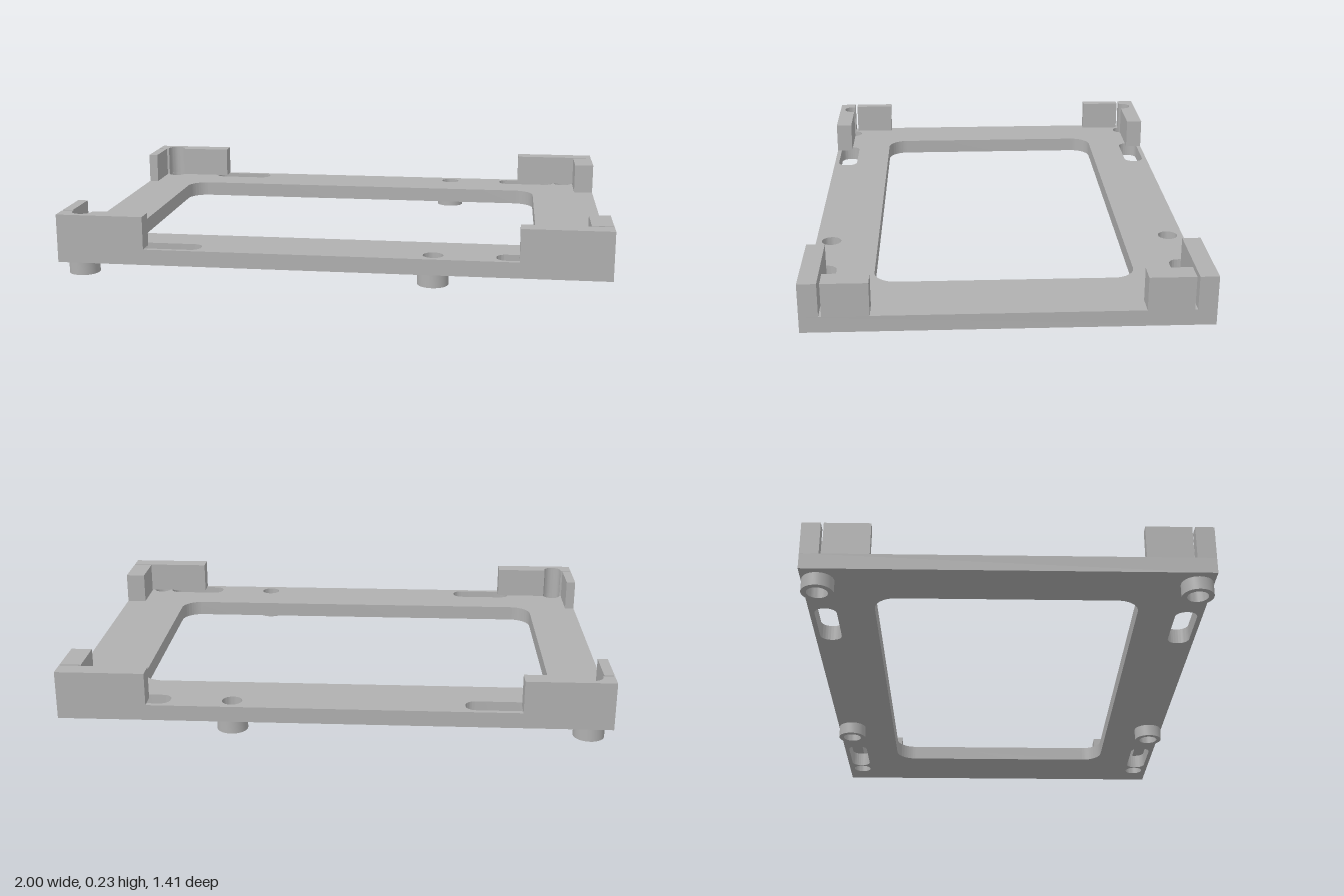
import * as THREE from 'three';
import { toCreasedNormals } from 'three/addons/utils/BufferGeometryUtils.js';

const BASE = 0.048, DECK = 0.106, TOP = 0.227;
const HALF_Z = 0.703, HOLE_Z = 0.645, HOLE_R = 0.037;

export function createModel() {
  const model = new THREE.Group();
  model.name = 'mountingFrame';
  const grey = new THREE.MeshStandardMaterial({ color: 0xb0b0b0 });
  grey.name = 'grey';

  // Rounded rectangle in plan (x, z)
  const roundRect = (path, x0, x1, z0, z1, r) => {
    path.moveTo(x0 + r, z0);
    path.lineTo(x1 - r, z0);
    path.absarc(x1 - r, z0 + r, r, -Math.PI / 2, 0);
    path.absarc(x1 - r, z1 - r, r, 0, Math.PI / 2);
    path.absarc(x0 + r, z1 - r, r, Math.PI / 2, Math.PI);
    path.absarc(x0 + r, z0 + r, r, Math.PI, Math.PI * 1.5);
    return path;
  };
  const polygon = (pts) => new THREE.Shape(pts.map(([x, z]) => new THREE.Vector2(x, z)));
  const circle = (x, z, r) => new THREE.Path().absarc(x, z, r, 0, Math.PI * 2, true);

  // Raise a plan shape between two heights
  const slab = (name, shape, y0, y1) => {
    let geo = new THREE.ExtrudeGeometry(shape, { depth: y1 - y0, bevelEnabled: false, curveSegments: 16 });
    geo.rotateX(Math.PI / 2);
    geo.translate(0, y1, 0);
    geo = toCreasedNormals(geo, 0.6);
    const mesh = new THREE.Mesh(geo, grey);
    mesh.name = name;
    model.add(mesh);
  };

  // Base plate with window, slots and screw holes
  const plate = polygon([[-1, -HALF_Z], [1, -HALF_Z], [1, HALF_Z], [-1, HALF_Z]]);
  plate.holes.push(roundRect(new THREE.Path(), -0.8, 0.74, -0.467, 0.467, 0.08));
  for (const s of [-1, 1]) {
    for (const [a, b] of [[-0.72, -0.475], [0.594, 0.832]]) {
      plate.holes.push(roundRect(new THREE.Path(), a, b, s * HOLE_Z - 0.04, s * HOLE_Z + 0.04, 0.036));
    }
    for (const x of [-0.92, 0.37, 0.876]) plate.holes.push(circle(x, s * HOLE_Z, HOLE_R));
  }
  slab('basePlate', plate, BASE, DECK);

  for (const s of [-1, 1]) {
    const end = s > 0 ? 'front' : 'back';
    const inner = 0.637;

    // Long corner wall on the right, notched by the screw hole
    const pts = [[-1, inner], [-1, HALF_Z], [-0.678, HALF_Z], [-0.678, inner]];
    const a0 = Math.asin((inner - HOLE_Z) / HOLE_R);
    for (let i = 0; i <= 24; i++) {
      const a = a0 + (Math.PI - 2 * a0) * i / 24;
      pts.push([-0.92 + HOLE_R * Math.cos(a), HOLE_Z + HOLE_R * Math.sin(a)]);
    }
    slab(end + 'RightLongWall', polygon(pts.map(([x, z]) => [x, s * z])), DECK, TOP);

    // Plain walls, separated from the long ones by a thin gap
    const box = (name, x0, x1, z0, z1) =>
      slab(name, polygon([[x0, s * z0], [x1, s * z0], [x1, s * z1], [x0, s * z1]]), DECK, TOP);
    box(end + 'LeftLongWall', 0.676, 1, inner, HALF_Z);
    box(end + 'RightShortWall', -1, -0.963, 0.466, 0.627);
    box(end + 'LeftShortWall', 0.922, 1, 0.466, 0.627);

    // Hollow standoff feet
    for (const x of [-0.92, 0.37]) {
      const ring = new THREE.Shape().absarc(x, s * HOLE_Z, 0.056, 0, Math.PI * 2);
      ring.holes.push(circle(x, s * HOLE_Z, HOLE_R));
      slab(end + (x < 0 ? 'Corner' : 'Middle') + 'Standoff', ring, 0, BASE);
    }
  }
  return model;
}
